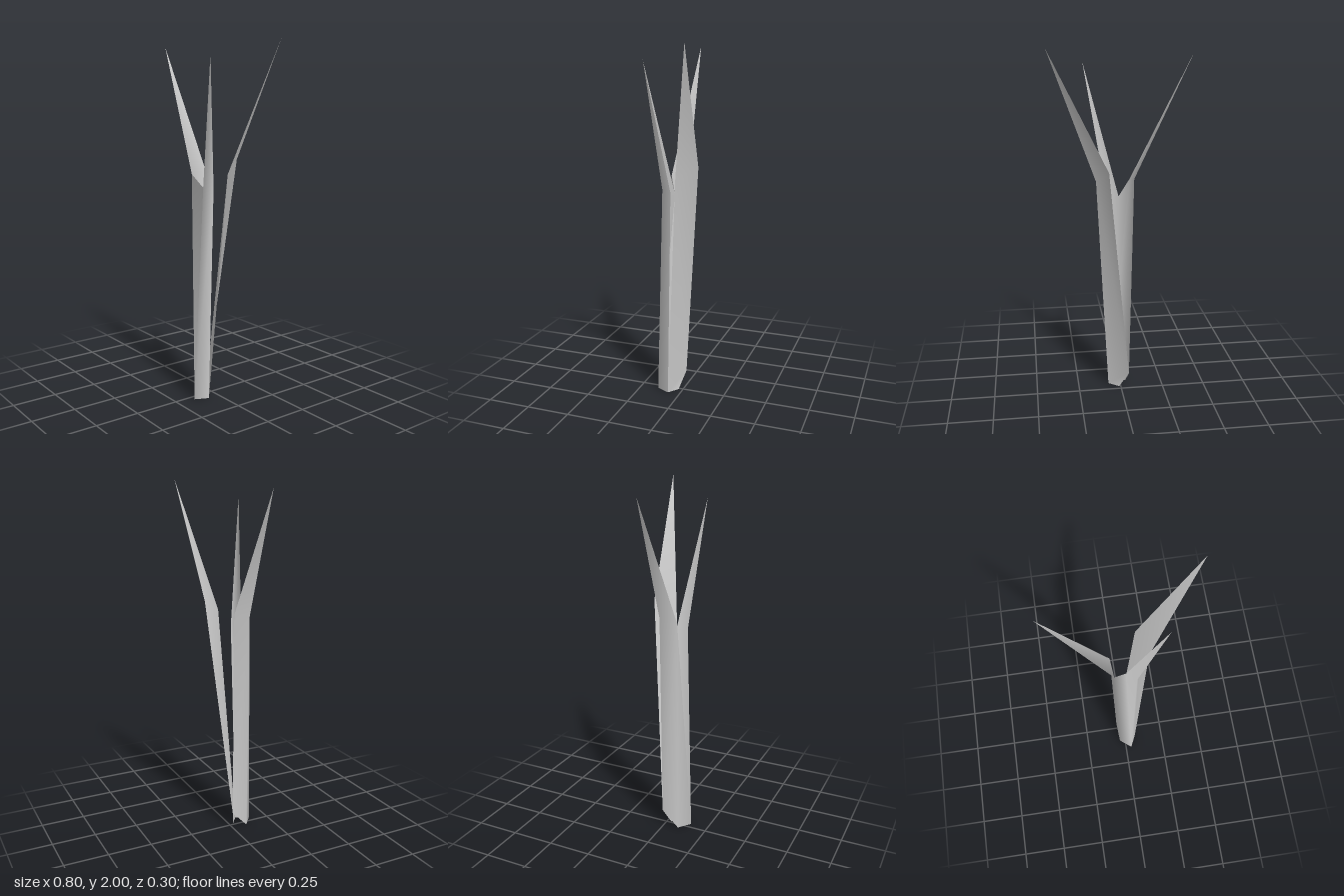
import * as THREE from 'three';

const material = new THREE.MeshStandardMaterial({ color: 0xcccccc, side: THREE.DoubleSide });

// Thin folded sheet: corner points plus faces (triangles or quads, outside counter-clockwise)
function sheet(name, points, faces) {
  const keys = Object.keys(points);
  const index = [];
  for (const face of faces) {
    const ids = face.split(' ').map((k) => keys.indexOf(k));
    for (let i = 1; i < ids.length - 1; i++) index.push(ids[0], ids[i], ids[i + 1]);
  }
  const geometry = new THREE.BufferGeometry();
  geometry.setAttribute('position', new THREE.Float32BufferAttribute(Object.values(points).flat(), 3));
  geometry.setIndex(index);
  geometry.computeVertexNormals();
  const mesh = new THREE.Mesh(geometry, material);
  mesh.name = name;
  return mesh;
}

export function createModel() {
  const group = new THREE.Group();
  group.name = 'leafSprout';

  // Corners at the foot, shared by the leaves
  const backLeft = [-0.045, 0.1, -0.005];
  const sideLeft = [-0.035, 0, 0.09];
  const front = [0.035, 0, 0.145];
  const sideRight = [0.07, 0, 0.07];
  const back = [0.01, 0, 0.025];

  // Folded stem sheet that splits into two pointed leaves at a notch
  group.add(sheet('foldedStemWithTwoLeaves', {
    backLeft, sideLeft, front, sideRight,
    bendBack: [-0.07, 1.29, -0.01],
    bendFront: [-0.06, 1.27, 0.09],
    notch: [0.01, 1.18, 0.045],
    keel: [0.06, 1.21, 0.1],
    rim: [0.08, 1.2, 0.045],
    sideTip: [-0.4, 1.97, 0.033],
    frontTip: [0.193, 1.91, 0.15],
  }, [
    'backLeft sideLeft bendFront bendBack',
    'front notch bendFront sideLeft',
    'front keel notch',
    'front sideRight rim keel',
    'bendBack bendFront sideTip',
    'notch keel frontTip',
    'keel rim frontTip',
  ]));

  // Broad blade leaning backwards
  group.add(sheet('backLeaf', {
    sideRight, back, backLeft,
    bendInner: [0.08, 1.35, -0.115],
    bendOuter: [0.14, 1.28, -0.005],
    tip: [0.4, 2, -0.15],
  }, [
    'backLeft bendInner bendOuter sideRight back',
    'bendOuter bendInner tip'.split(' ').join(' '),
  ]));

  return group;
}
